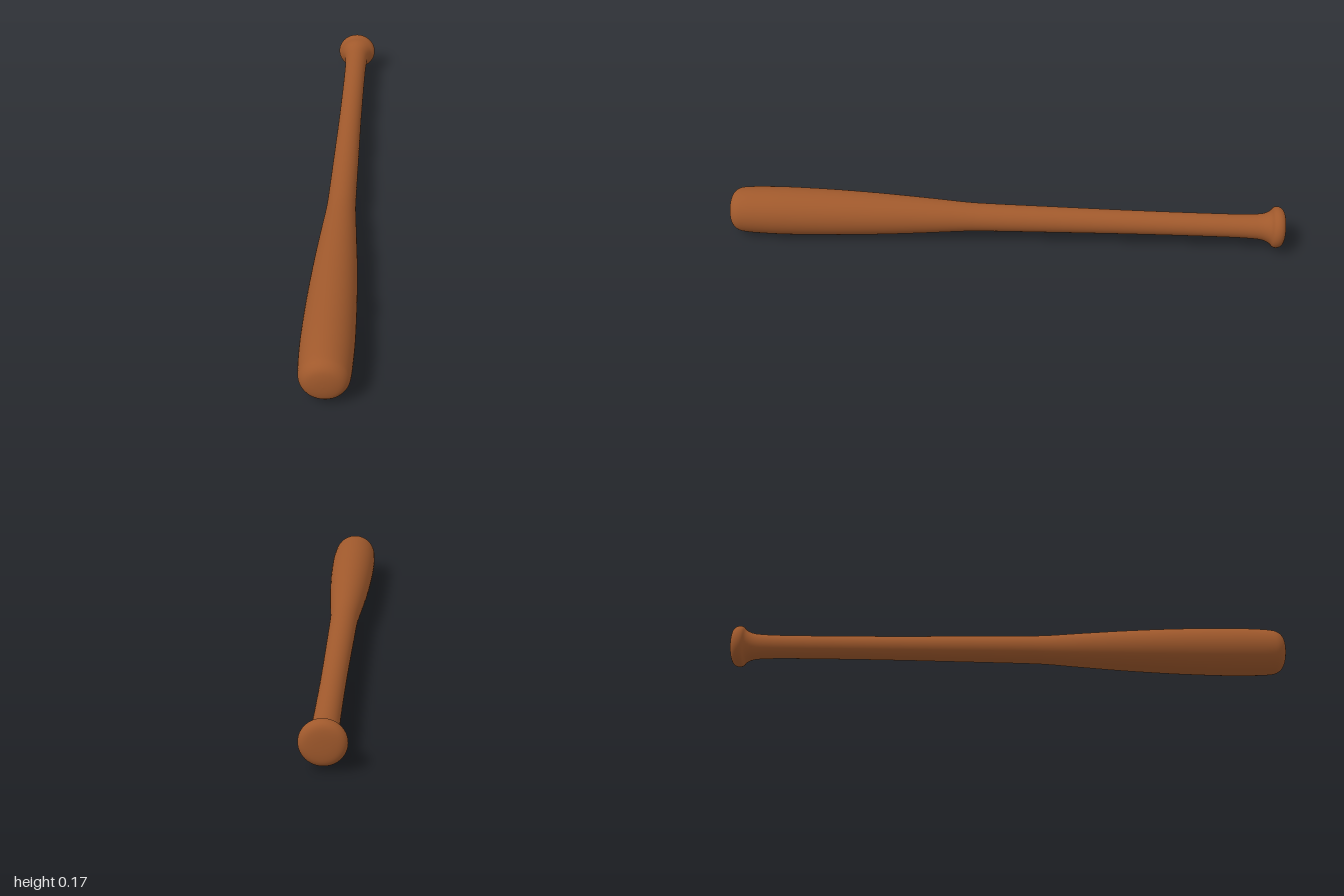
import * as THREE from 'three';

export function createModel() {
  const wood = new THREE.MeshStandardMaterial({ color: 0xa0592c });
  wood.name = 'warm brown wood';

  // Profile of [radius, distance along the bat], knob end first
  const profile = [
    [0, -1], [0.03, -0.999], [0.054, -0.995], [0.068, -0.986], [0.074, -0.972],
    [0.071, -0.957], [0.058, -0.944], [0.048, -0.92], [0.044, -0.88], [0.042, -0.8],
    [0.042, -0.6], [0.0435, -0.4], [0.047, -0.15], [0.05, 0.05], [0.053, 0.14],
    [0.062, 0.26], [0.073, 0.42], [0.082, 0.6], [0.0865, 0.78], [0.0855, 0.88],
    [0.082, 0.945], [0.075, 0.972], [0.058, 0.99], [0.03, 0.998], [0, 1],
  ].map(([r, y]) => new THREE.Vector2(r, y));
  const points = new THREE.SplineCurve(profile).getPoints(96);
  points.forEach((p) => { p.x = Math.max(p.x, 0); });

  // Lay the lathe along z, barrel to the front, with a very slight lean
  const geometry = new THREE.LatheGeometry(points, 48);
  geometry.rotateX(Math.PI / 2 + 0.0015);
  geometry.rotateY(-0.0085);
  geometry.translate(0.004, 0.089, 0);

  const bat = new THREE.Mesh(geometry, wood);
  bat.name = 'bat';

  const group = new THREE.Group();
  group.name = 'baseballBat';
  group.add(bat);
  return group;
}
